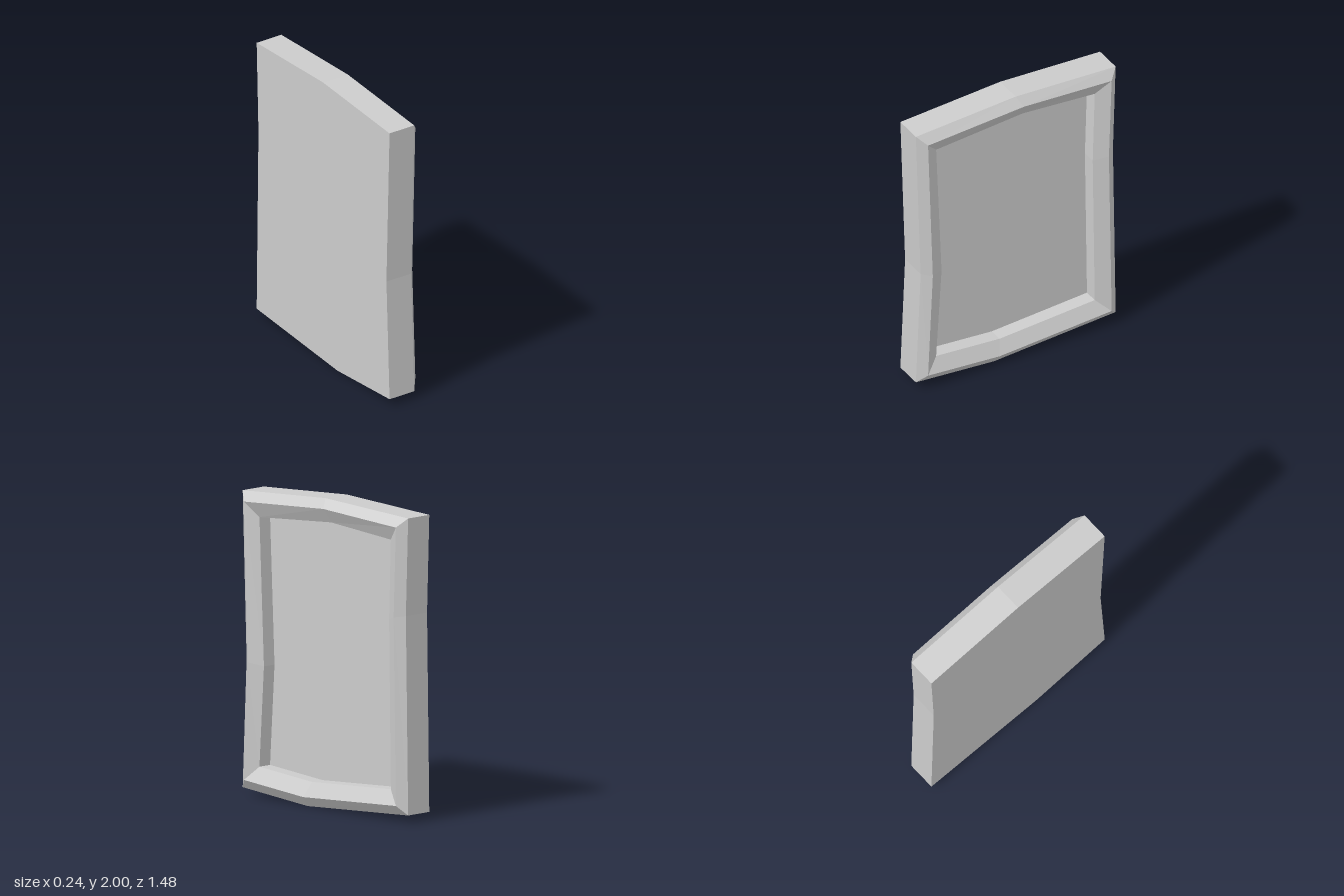
import * as THREE from 'three';

// Outlines as [z, y], counter-clockwise seen from +x
const outer = [[0.74, 0.05], [0.16, 0], [-0.74, 0.05], [-0.72, 1.33], [-0.74, 1.96], [0, 2], [0.74, 1.96], [0.705, 0.88]];
const ridge = [[0.68, 0.11], [0.15, 0.065], [-0.68, 0.11], [-0.66, 1.32], [-0.68, 1.9], [-0.03, 1.94], [0.68, 1.9], [0.645, 0.87]];
const inner = [[0.59, 0.2], [0.12, 0.16], [-0.585, 0.2], [-0.57, 1.29], [-0.585, 1.805], [-0.05, 1.85], [0.59, 1.805], [0.55, 0.85]];

const at = (loop, x) => loop.map(([z, y]) => [x, y, z]);

function makeMesh(name, triangles) {
  const geometry = new THREE.BufferGeometry();
  geometry.setAttribute('position', new THREE.Float32BufferAttribute(triangles.flat(2), 3));
  geometry.computeVertexNormals();
  const mesh = new THREE.Mesh(geometry, new THREE.MeshStandardMaterial({ color: 0xcccccc, flatShading: true }));
  mesh.name = name;
  return mesh;
}

// Band of faces joining each cross-section to the next
function bands(sections) {
  const tris = [];
  for (let s = 0; s < sections.length - 1; s++) {
    const a = sections[s], b = sections[s + 1];
    a.forEach((p, i) => {
      const j = (i + 1) % a.length;
      tris.push([p, a[j], b[j]], [p, b[j], b[i]]);
    });
  }
  return tris;
}

// Flat cap fanned from the middle
function cap(loop, flip) {
  const centre = [loop[0][0], 1, 0];
  return loop.map((p, i) => {
    const q = loop[(i + 1) % loop.length];
    return flip ? [centre, q, p] : [centre, p, q];
  });
}

export function createModel() {
  const group = new THREE.Group();
  group.name = 'framedPanel';
  const back = at(outer, -0.12);
  const floor = at(inner, -0.025);
  // Frame: side walls, outer bevel, inner bevel, recess walls
  group.add(makeMesh('frame', bands([back, at(outer, 0.07), at(ridge, 0.12), at(inner, 0.07), floor])));
  // Recessed face and flat back
  group.add(makeMesh('recessedPanel', cap(floor, false)));
  group.add(makeMesh('backPanel', cap(back, true)));
  return group;
}
